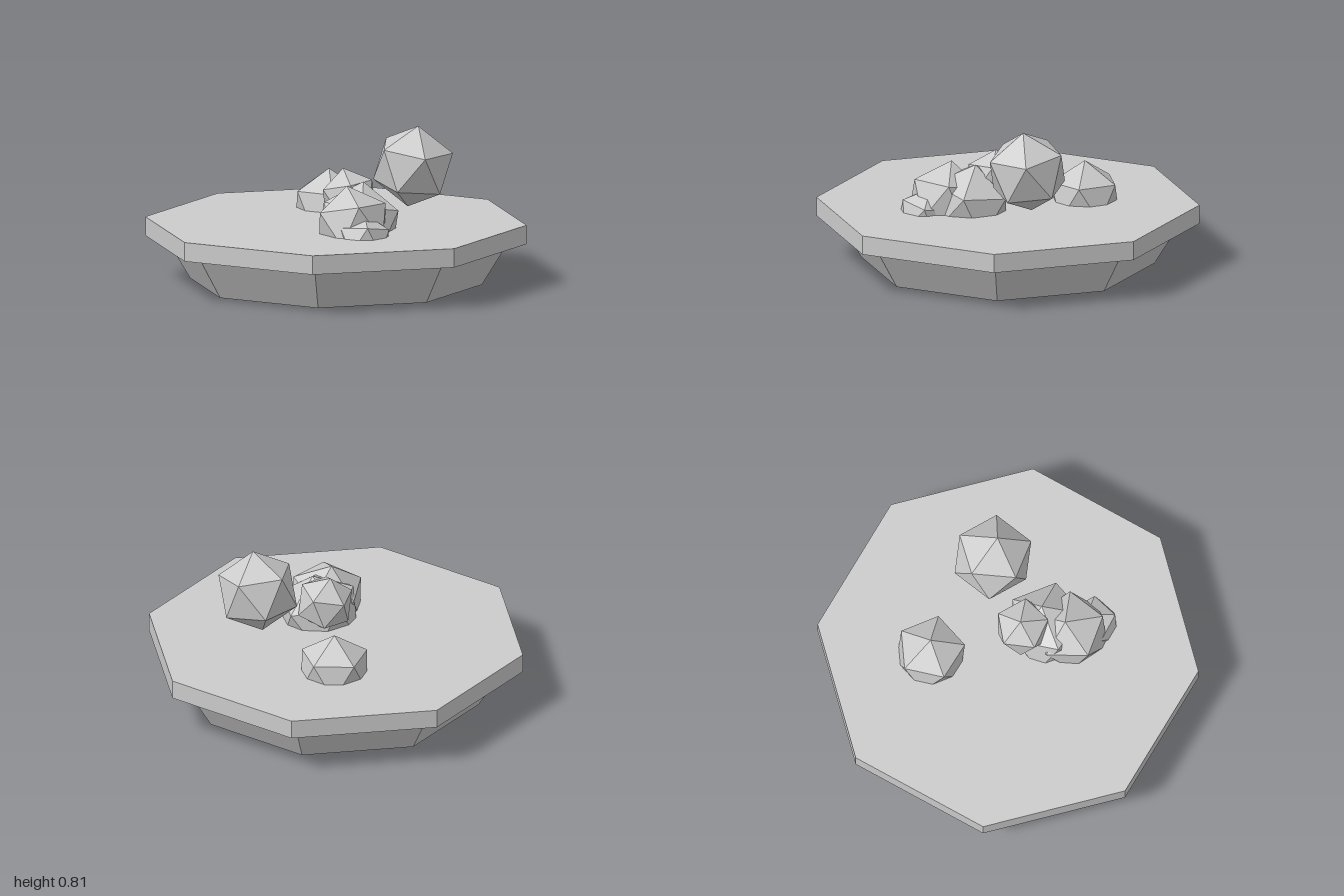
import * as THREE from 'three';

const material = new THREE.MeshStandardMaterial({ color: 0xcccccc, flatShading: true });
const openMaterial = new THREE.MeshStandardMaterial({
  color: 0xcccccc, flatShading: true, side: THREE.DoubleSide,
});

// Orthonormal frame whose x axis is u and whose y axis leans toward v
function frame(u, v) {
  const x = u.clone().normalize();
  const y = v.clone().addScaledVector(x, -v.dot(x)).normalize();
  return new THREE.Matrix4().makeBasis(x, y, x.clone().cross(y));
}

// Two adjacent corners of the built-in icosahedron
const T = (1 + Math.sqrt(5)) / 2;
const restFrame = frame(new THREE.Vector3(-1, T, 0), new THREE.Vector3(1, T, 0));

// Icosahedral rock, turned so one corner points along apex and the next toward side
function makeRock({ name, radius, center, apex, side }) {
  const rock = new THREE.Mesh(new THREE.IcosahedronGeometry(radius, 0), material);
  const turn = frame(new THREE.Vector3(...apex), new THREE.Vector3(...side))
    .multiply(restFrame.clone().transpose());
  rock.quaternion.setFromRotationMatrix(turn);
  rock.position.set(...center);
  rock.name = name;
  return rock;
}

const ROCKS = [
  { name: 'largeRock', radius: 0.22, center: [0.388, 0.595, -0.13], apex: [0.03, 0.215, 0.02], side: [0.197, 0.095, -0.005] },
  { name: 'backRock', radius: 0.2, center: [-0.085, 0.325, -0.395], apex: [0, 0.2, 0], side: [0.2, 0.08, 0.02] },
  { name: 'upperRock', radius: 0.155, center: [0.075, 0.46, 0.07], apex: [-0.03, 0.15, -0.01], side: [0.145, 0.05, 0] },
  { name: 'middleRock', radius: 0.23, center: [0.14, 0.335, 0.19], apex: [0.02, 0.2, -0.03], side: [0.235, 0.08, 0.02] },
  { name: 'frontRock', radius: 0.21, center: [0.125, 0.355, 0.315], apex: [-0.03, 0.19, -0.025], side: [0.07, 0.11, 0.195] },
  { name: 'smallRock', radius: 0.15, center: [0.195, 0.29, 0.42], apex: [0, 0.14, -0.03], side: [0.04, 0.04, 0.14] },
];

export function createModel() {
  const model = new THREE.Group();
  model.name = 'rockPlatter';

  // Octagonal slab
  const plate = new THREE.Mesh(new THREE.CylinderGeometry(1, 1, 0.1, 8), material);
  plate.position.y = 0.27;
  plate.name = 'plate';

  // Flared foot, hollow and open underneath
  const foot = new THREE.Mesh(
    new THREE.CylinderGeometry(0.9, 0.765, 0.22, 8, 1, true), openMaterial);
  foot.position.y = 0.11;
  foot.name = 'foot';

  // Rocks heaped on the slab
  const rocks = new THREE.Group();
  rocks.name = 'rocks';
  ROCKS.forEach((spec) => rocks.add(makeRock(spec)));

  model.add(plate, foot, rocks);
  return model;
}
